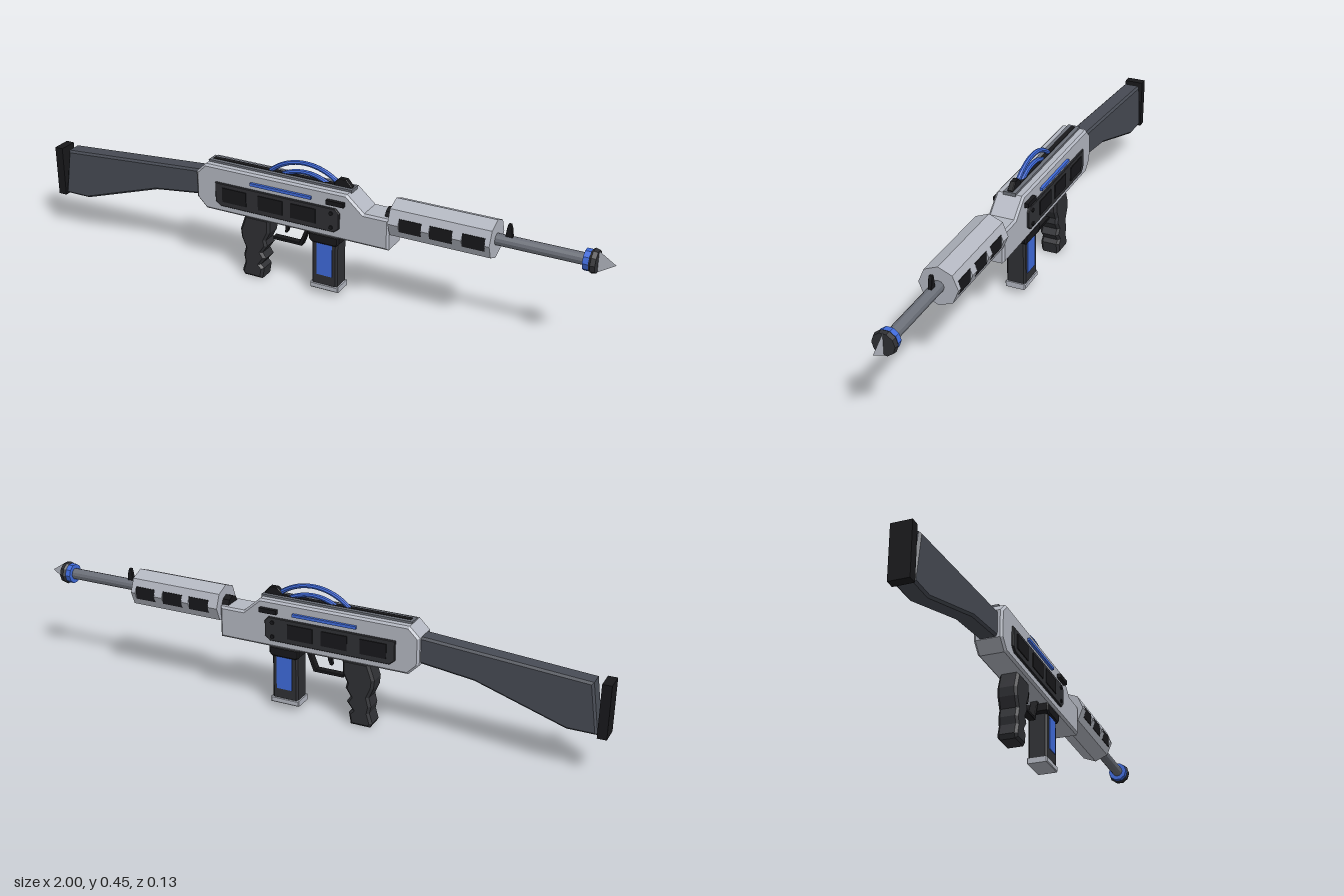
import * as THREE from 'three';

const paint = (color) => new THREE.MeshStandardMaterial({ color, flatShading: true });
const silver = paint(0xb4b8c2), slate = paint(0x474b54), steel = paint(0x6c7079);
const dark = paint(0x2f3034), black = paint(0x18181b), blue = paint(0x3f6bdc);
const AXIS = 0.328; // barrel height

export function createModel() {
  const model = new THREE.Group();
  const add = (name, geometry, material) => {
    const mesh = new THREE.Mesh(geometry, material);
    mesh.name = name;
    model.add(mesh);
    return mesh;
  };
  // Box given by its x and y limits, half depth and centre z
  const box = (name, x0, x1, y0, y1, hz, material, z = 0) =>
    add(name, new THREE.BoxGeometry(x1 - x0, y1 - y0, hz * 2), material)
      .position.set((x0 + x1) / 2, (y0 + y1) / 2, z);
  // Side outline extruded across z with chamfered edges
  const plate = (name, points, hz, bevel, material, z = 0) => {
    const shape = new THREE.Shape(points.map(([x, y]) => new THREE.Vector2(x, y)));
    const g = new THREE.ExtrudeGeometry(shape, {
      depth: 2 * (hz - bevel), bevelEnabled: bevel > 0, bevelThickness: bevel,
      bevelSize: bevel, bevelOffset: -bevel, bevelSegments: 1,
    });
    add(name, g.translate(0, 0, bevel - hz), material).position.z = z;
  };
  // Round or faceted part lying along the barrel axis
  const rod = (name, x0, x1, r0, r1, sides, material) =>
    add(name, new THREE.CylinderGeometry(r1, r0, x1 - x0, sides).rotateZ(-Math.PI / 2), material)
      .position.set((x0 + x1) / 2, AXIS, 0);

  // Stock and butt pad
  plate('stock', [[-0.97, 0.145], [-0.875, 0.145], [-0.58, 0.24], [-0.39, 0.264],
    [-0.39, 0.353], [-0.945, 0.312]], 0.031, 0.007, slate);
  box('buttPad', -1, -0.97, 0.138, 0.315, 0.033, black);

  // Receiver and top rail
  plate('receiver', [[-0.37, 0.225], [0.297, 0.225], [0.297, 0.333], [0.21, 0.333],
    [0.15, 0.386], [-0.37, 0.386], [-0.405, 0.352], [-0.405, 0.26]], 0.047, 0.007, silver);
  box('rail', -0.37, 0.155, 0.38, 0.393, 0.021, steel);
  box('railGroove', -0.36, 0.145, 0.385, 0.395, 0.008, black);

  // Side panels, mirrored
  for (const s of [1, -1]) {
    plate('sidePanel', [[-0.31, 0.25], [0.11, 0.25], [0.128, 0.265], [0.128, 0.318], [0.115, 0.332],
      [-0.328, 0.332], [-0.328, 0.265]], 0.006, 0.002, dark, s * 0.048);
    for (const x of [-0.3, -0.165, -0.045]) box('vent', x, x + 0.09, 0.268, 0.318, 0.003, black, s * 0.054);
    for (const y of [0.266, 0.315]) {
      const bolt = add('bolt', new THREE.CylinderGeometry(0.007, 0.007, 0.008, 8).rotateX(Math.PI / 2), black);
      bolt.position.set(0.1, y, s * 0.054);
    }
    box('lightStrip', -0.195, 0.028, 0.347, 0.357, 0.006, blue, s * 0.05);
    box('sideCatch', 0.084, 0.146, 0.345, 0.36, 0.008, black, s * 0.052);
  }

  // Arched tubes and rear sight
  for (const [half, peak] of [[0.135, 0.441], [0.09, 0.41]]) {
    const rise = peak - 0.383, radius = (half * half + rise * rise) / (2 * rise);
    const span = Math.asin(half / radius), points = [];
    for (let i = -8; i <= 8; i++) {
      const a = span * i / 8;
      points.push(new THREE.Vector3(-0.02 + radius * Math.sin(a), peak - radius + radius * Math.cos(a), 0));
    }
    add('archedTube', new THREE.TubeGeometry(new THREE.CatmullRomCurve3(points), 24, 0.008, 8), blue);
  }
  plate('rearSight', [[0.085, 0.39], [0.15, 0.39], [0.15, 0.397], [0.13, 0.419], [0.105, 0.419], [0.09, 0.405]],
    0.009, 0.002, black);

  // Handguard: octagon with flat recesses along both side ridges
  const R = 0.064, flat = 0.055, d = R * Math.SQRT1_2, h = (R - flat) * (1 + Math.SQRT2);
  const core = new THREE.Shape([[0, R], [-d, d], [-flat, h], [-flat, -h], [-d, -d],
    [0, -R], [d, -d], [flat, -h], [flat, h], [d, d]].map(([x, y]) => new THREE.Vector2(x, y)));
  add('handguardCore', new THREE.ExtrudeGeometry(core, { depth: 0.32, bevelEnabled: false })
    .rotateY(Math.PI / 2), silver).position.set(0.306, AXIS, 0);
  const bands = [[0.3, 0.335], [0.41, 0.437], [0.512, 0.543], [0.617, 0.633]];
  bands.forEach(([a, b], i) => {
    rod('handguardBand', a, b, R, R, 8, silver);
    if (i < 3) for (const s of [1, -1])
      box('handguardWindow', b, bands[i + 1][0], AXIS - h, AXIS + h, 0.002, black, s * 0.055);
  });
  rod('handguardCollar', 0.275, 0.305, 0.03, 0.03, 8, black);

  // Barrel, muzzle and front sight
  rod('barrel', 0.62, 0.92, 0.019, 0.019, 12, steel);
  rod('muzzleRing', 0.907, 0.925, 0.034, 0.034, 10, blue);
  rod('muzzleCap', 0.918, 0.932, 0.028, 0.039, 10, dark);
  rod('muzzleFace', 0.932, 0.946, 0.039, 0.036, 10, dark);
  const tipMaterial = silver.clone();
  tipMaterial.side = THREE.DoubleSide;
  const tip = new THREE.Shape([new THREE.Vector2(0.944, AXIS - 0.036), new THREE.Vector2(1, AXIS),
    new THREE.Vector2(0.944, AXIS + 0.036)]);
  add('muzzleTip', new THREE.ShapeGeometry(tip), tipMaterial);
  plate('frontSight', [[0.66, 0.34], [0.685, 0.34], [0.68, 0.375], [0.676, 0.387], [0.668, 0.387], [0.665, 0.375]],
    0.006, 0.001, black);

  // Pistol grip with finger grooves
  plate('grip', [[-0.238, 0], [-0.17, 0], [-0.163, 0.04], [-0.175, 0.052], [-0.155, 0.078], [-0.168, 0.098],
    [-0.15, 0.125], [-0.155, 0.145], [-0.14, 0.175], [-0.138, 0.226], [-0.23, 0.226], [-0.25, 0.17],
    [-0.247, 0.14], [-0.232, 0.105], [-0.24, 0.075], [-0.235, 0.05], [-0.246, 0.015]], 0.033, 0.008, dark);

  // Trigger and guard
  plate('triggerGuard', [[-0.135, 0.15], [-0.028, 0.15], [0.002, 0.226], [-0.01, 0.226], [-0.037, 0.16],
    [-0.135, 0.16]], 0.012, 0.001, black);
  plate('trigger', [[-0.095, 0.226], [-0.09, 0.2], [-0.093, 0.183], [-0.085, 0.183], [-0.078, 0.2], [-0.076, 0.226]],
    0.008, 0.001, black);

  // Magazine
  plate('magazineWell', [[0.022, 0.19], [0.11, 0.19], [0.12, 0.2], [0.12, 0.226], [0.012, 0.226], [0.012, 0.2]],
    0.041, 0.005, black);
  plate('magazine', [[0.02, 0.035], [0.112, 0.035], [0.112, 0.2], [0.02, 0.2]], 0.033, 0.006, dark);
  box('magazinePanel', 0.04, 0.095, 0.075, 0.19, 0.036, blue);
  plate('magazineBase', [[0.015, 0.021], [0.117, 0.021], [0.117, 0.041], [0.015, 0.041]], 0.035, 0.003, silver);

  return model;
}
